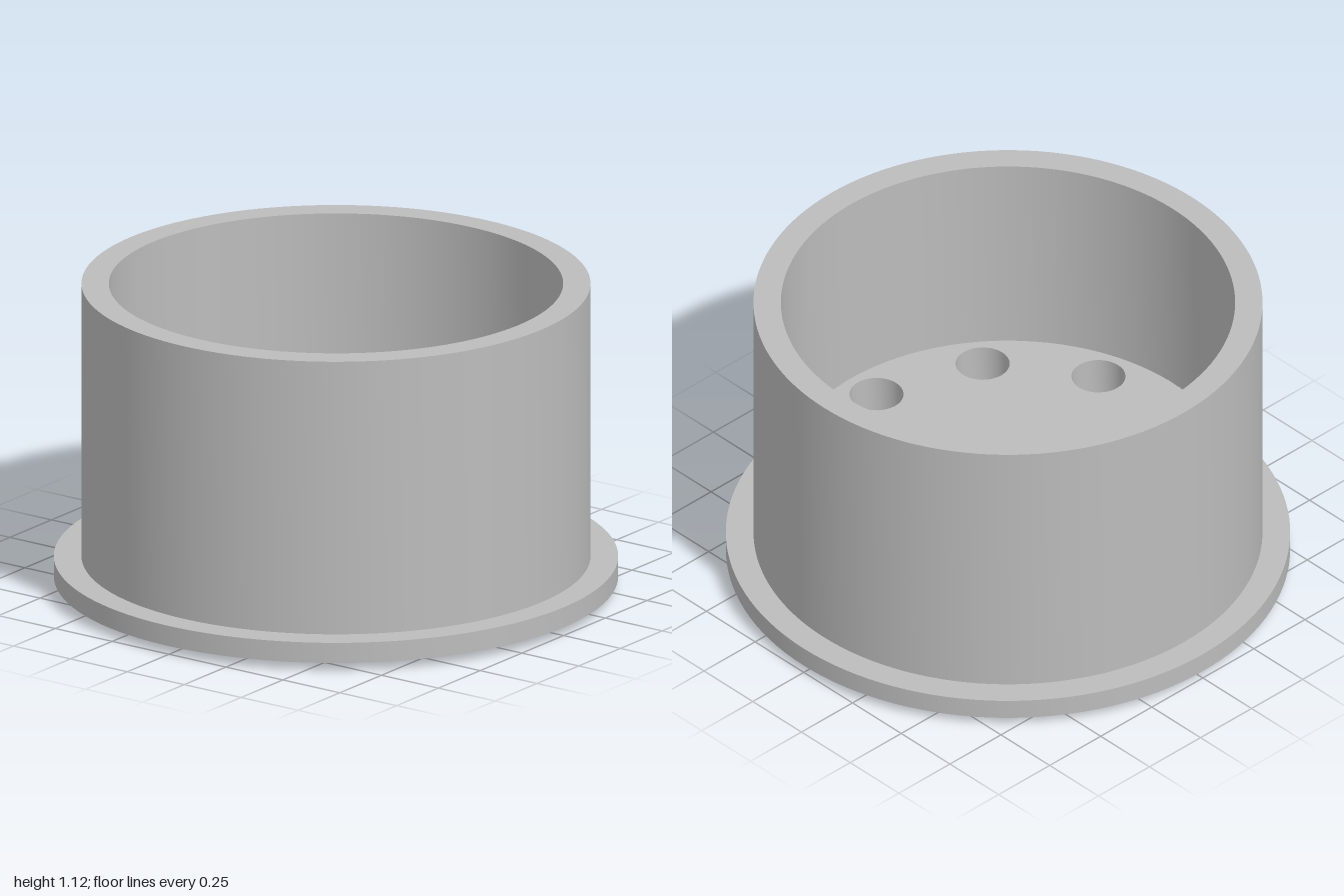
import * as THREE from 'three';
import { toCreasedNormals } from 'three/addons/utils/BufferGeometryUtils.js';

const HOLES = 10, HOLE_R = 0.096, HOLE_D = 0.675; // vent holes
const HUB = 0.527, CREASE = 0.65, RIM = 0.805, BORE = 0.165; // radii
const FLOOR = 0.35, WEB = 0.26, LIP = 0.1, HUB_FACE = 0.135; // heights

// Underside height of the disc: flat near the hub, then a cone down to the lip
const under = (r) => r <= CREASE ? WEB : WEB + (LIP - WEB) * (r - CREASE) / (RIM - CREASE);

function buildDisc() {
  const pos = [];
  const tri = (a, b, c) => {
    const area = new THREE.Triangle(a, b, c).getArea();
    if (area > 1e-9) pos.push(...a, ...b, ...c);
  };
  const quad = (a, b, c, d) => { tri(a, b, c); tri(a, c, d); };
  const at = (c, r, y) => new THREE.Vector3(r * Math.cos(c.a), y, r * Math.sin(c.a));

  // Angular columns; each stores where its ray enters and leaves a hole
  const cols = [];
  const edge = Math.asin(HOLE_R / HOLE_D);
  const step = Math.PI * 2 / HOLES;
  const mid = HOLE_D * Math.cos(edge);
  for (let h = 0; h < HOLES; h++) {
    const centre = (h + 0.5) * step;
    for (let i = 0; i <= 16; i++) {
      const phi = edge * Math.sin((i / 16 - 0.5) * Math.PI);
      const half = Math.sqrt(Math.max(0, HOLE_R ** 2 - (HOLE_D * Math.sin(phi)) ** 2));
      const m = HOLE_D * Math.cos(phi);
      const end = i === 0 || i === 16;
      cols.push({ a: centre + phi, r1: end ? mid : m - half, r2: end ? mid : m + half });
    }
    for (let i = 1; i < 6; i++) {
      cols.push({ a: centre + edge + (step - 2 * edge) * i / 6, r1: mid, r2: mid });
    }
  }

  cols.forEach((p, i) => {
    const q = cols[(i + 1) % cols.length];
    // strip between two radius rules, facing down or up
    const strip = (ra, rb, y, up) => {
      const c = [at(p, ra(p), y(ra(p))), at(p, rb(p), y(rb(p))), at(q, rb(q), y(rb(q))), at(q, ra(q), y(ra(q)))];
      quad(...(up ? c.reverse() : c));
    };
    const flat = () => FLOOR;
    const bend = (c) => Math.min(c.r1, CREASE);
    strip(() => HUB, bend, under, false);
    strip(bend, (c) => c.r1, under, false);
    strip((c) => c.r2, () => RIM, under, false);
    strip(() => BORE, (c) => c.r1, flat, true);
    strip((c) => c.r2, () => RIM, flat, true);
    // hole walls
    if (p.r2 - p.r1 > 1e-6 || q.r2 - q.r1 > 1e-6) {
      for (const k of ['r1', 'r2']) {
        const c = [at(p, p[k], under(p[k])), at(p, p[k], FLOOR), at(q, q[k], FLOOR), at(q, q[k], under(q[k]))];
        quad(...(k === 'r1' ? c : c.reverse()));
      }
    }
  });
  const geo = new THREE.BufferGeometry();
  geo.setAttribute('position', new THREE.Float32BufferAttribute(pos, 3));
  return toCreasedNormals(geo, 0.5);
}

function lathe(points) {
  const geo = new THREE.LatheGeometry(points.map(([x, y]) => new THREE.Vector2(x, y)), 128);
  return toCreasedNormals(geo, 0.5);
}

export function createModel() {
  const model = new THREE.Group();
  model.name = 'wheelRim';
  const metal = new THREE.MeshStandardMaterial({ color: 0xbcbcbc });
  metal.name = 'grey metal';
  const add = (name, geo) => {
    const mesh = new THREE.Mesh(geo, metal);
    mesh.name = name;
    model.add(mesh);
    return mesh;
  };

  // Barrel with its flange and open top
  add('barrelAndFlange', lathe([
    [RIM, LIP], [RIM, 0.03], [1, 0.03], [1, 0.105], [0.902, 0.105],
    [0.902, 1.12], [RIM, 1.12], [RIM, FLOOR],
  ]));

  // Tapered hub with a centre bore
  add('hub', lathe([[BORE, FLOOR], [BORE, HUB_FACE], [0.43, HUB_FACE], [HUB, WEB]]));

  // Dished disc pierced by vent holes
  add('disc', buildDisc());

  // Hexagonal bolts under the hub
  const boltGeo = new THREE.CylinderGeometry(0.055, 0.055, HUB_FACE + 0.01, 6).toNonIndexed();
  boltGeo.rotateY(Math.PI / 6);
  boltGeo.computeVertexNormals();
  for (let i = 0; i < 6; i++) {
    const a = i * Math.PI / 3;
    add('bolt', boltGeo).position.set(0.315 * Math.cos(a), (HUB_FACE + 0.01) / 2, 0.315 * Math.sin(a));
  }
  return model;
}
